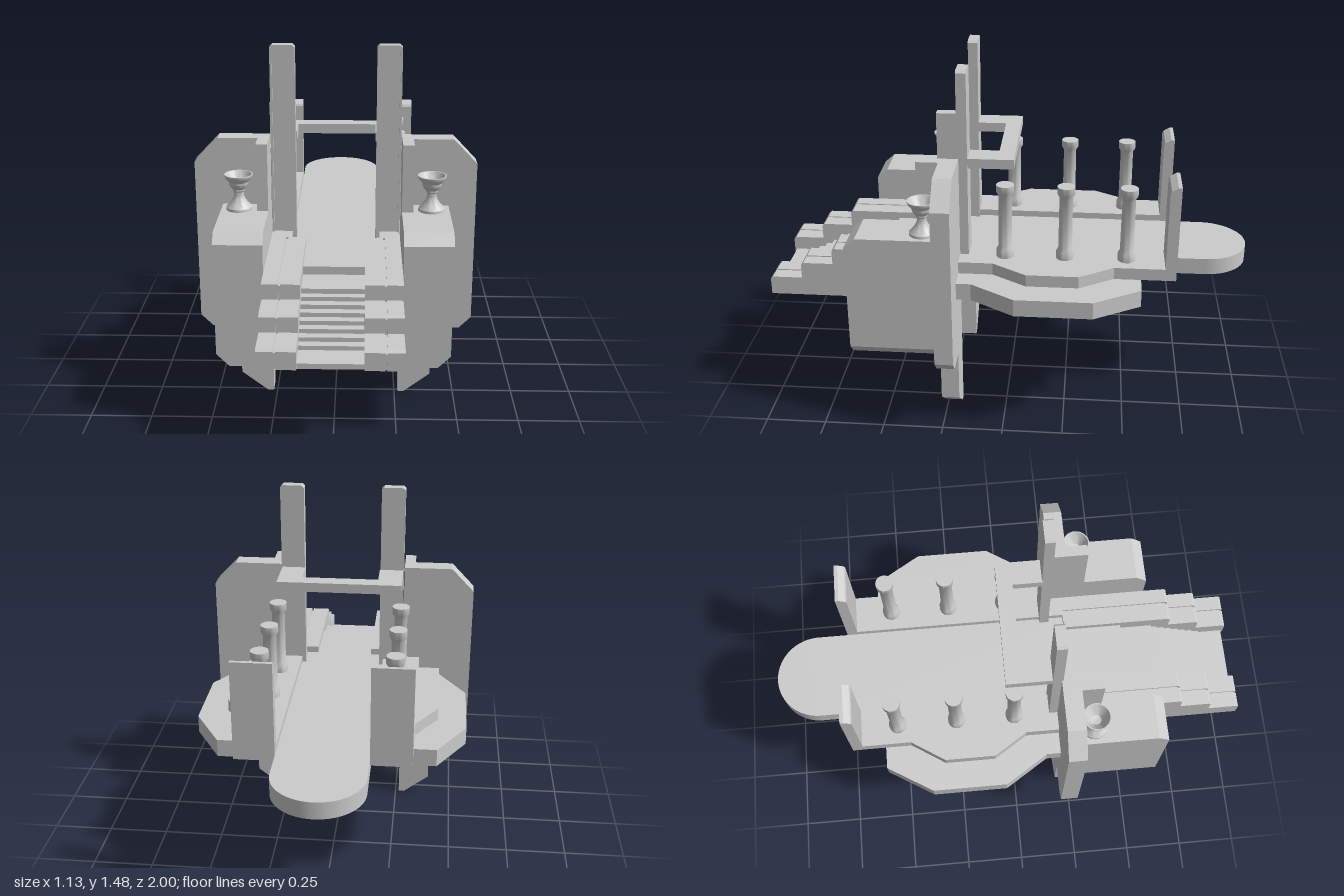
import * as THREE from 'three';
import { toCreasedNormals } from 'three/addons/utils/BufferGeometryUtils.js';

const material = new THREE.MeshStandardMaterial({ color: 0xcccccc, side: THREE.DoubleSide });

export function createModel() {
  const model = new THREE.Group();

  const add = (name, geometry) => {
    const mesh = new THREE.Mesh(geometry, material);
    mesh.name = name;
    model.add(mesh);
    return mesh;
  };
  const shapeOf = (points) => new THREE.Shape(points.map(([a, b]) => new THREE.Vector2(a, b)));
  const extrude = (shape, depth) =>
    new THREE.ExtrudeGeometry(shape, { depth, bevelEnabled: false, curveSegments: 24 });

  // Box given by its limits
  const box = (name, x0, x1, y0, y1, z0, z1) =>
    add(name, new THREE.BoxGeometry(Math.abs(x1 - x0), y1 - y0, z1 - z0)
      .translate((x0 + x1) / 2, (y0 + y1) / 2, (z0 + z1) / 2));
  // Outline in x, y pushed along z
  const upright = (name, shape, z0, z1) => add(name, extrude(shape, z1 - z0).translate(0, 0, z0));
  // Outline in x, z raised along y
  const slab = (name, points, y0, y1) =>
    add(name, extrude(shapeOf(points.map(([x, z]) => [x, -z])), y1 - y0)
      .rotateX(-Math.PI / 2).translate(0, y0, 0));
  // Outline in z, y pushed along x
  const sideways = (name, points, xa, xb) =>
    add(name, extrude(shapeOf(points), Math.abs(xb - xa))
      .rotateY(-Math.PI / 2).translate(Math.max(xa, xb), 0, 0));
  // Turned part with crisp ledges
  const turned = (name, points, x, z) =>
    add(name, toCreasedNormals(
      new THREE.LatheGeometry(points.map(([r, y]) => new THREE.Vector2(r, y)), 24), 0.6))
      .position.set(x, 0, z);

  // Central walkway with a rounded far end
  const walk = new THREE.Shape();
  walk.moveTo(0.18, -0.26);
  walk.lineTo(0.18, 0.82);
  walk.absarc(0, 0.82, 0.18, 0, Math.PI, false);
  walk.lineTo(-0.18, -0.26);
  add('walkway', toCreasedNormals(extrude(walk, 0.07), 0.5)
    .rotateX(-Math.PI / 2).translate(0, 0.603, 0));
  box('landing', -0.12, 0.12, 0.603, 0.673, 0.26, 0.51);

  // Stair treads
  box('topTread', -0.12, 0.12, 0.58, 0.64, 0.48, 0.65);
  for (let i = 0; i < 8; i++) {
    const y = 0.62 - i * 0.017;
    const front = i === 7 ? 0.99 : 0.68 + i * 0.034;
    box('tread' + (i + 1), -0.12, 0.12, Math.max(y - 0.05, 0.48), y, 0.62 + i * 0.034, front);
  }

  // Balcony bridging the pillars
  slab('balcony', [
    [-0.26, 0.16], [-0.26, -0.03], [0.26, -0.03], [0.26, 0.16],
    [0.16, 0.16], [0.16, 0.035], [-0.16, 0.035], [-0.16, 0.16],
  ], 1.08, 1.12);

  const columnProfile = [
    [0, 0.7], [0.036, 0.7], [0.036, 0.73], [0.028, 0.745],
    [0.027, 0.97], [0.036, 0.985], [0.036, 1.015], [0, 1.015],
  ];
  const gobletProfile = [
    [0, 0.845], [0.053, 0.845], [0.052, 0.855], [0.035, 0.873], [0.024, 0.89],
    [0.019, 0.903], [0.019, 0.918], [0.024, 0.923], [0.024, 0.93],
    [0.034, 0.94], [0.039, 0.952], [0.039, 0.96], [0.05, 0.972], [0.057, 0.985],
    [0.057, 0.99], [0.052, 0.99], [0.036, 0.965], [0.02, 0.945], [0, 0.94],
  ];

  // Stepped stair rail with a rising underside
  const railProfile = (d) => [
    [0.19, 0.63], [0.43, 0.63], [0.47, 0.56], [0.6, 0.56], [0.65, 0.48], [1 - d, 0.48],
    [1 - d, 0.55 - d], [0.99 - d, 0.56 - d], [0.865 - d, 0.56 - d],
    [0.865 - d, 0.62 - d], [0.855 - d, 0.63 - d], [0.73 - d, 0.63 - d],
    [0.73 - d, 0.69 - d], [0.72 - d, 0.7 - d], [0.26, 0.7 - d], [0.26, 0.65], [0.19, 0.65],
  ];

  for (const [side, s] of [['left', 1], ['right', -1]]) {
    const mirror = (points) => points.map(([a, b]) => [a * s, b]);

    // Stair rail in two strips with a narrow groove between
    sideways(side + 'RailInner', railProfile(0), s * 0.12, s * 0.193);
    sideways(side + 'RailGroove', railProfile(0.008), s * 0.193, s * 0.201);
    sideways(side + 'RailOuter', railProfile(0), s * 0.201, s * 0.263);

    // Two-tier side deck with a narrow tab below the walkway
    slab(side + 'UpperDeck', mirror([
      [0.18, 0.26], [0.263, 0.26], [0.263, 0.19], [0.34, 0.19], [0.34, 0.05], [0.43, -0.09],
      [0.43, -0.3], [0.34, -0.44], [0.34, -0.69], [0.18, -0.69],
    ]), 0.65, 0.7);
    slab(side + 'LowerDeck', mirror([
      [0.25, 0.19], [0.43, 0.19], [0.43, 0.13], [0.545, -0.05], [0.545, -0.36],
      [0.43, -0.55], [0.12, -0.55], [0.12, -0.52], [0.25, -0.52],
    ]), 0.578, 0.65);

    // Columns along the deck
    for (const z of [0.005, -0.24, -0.49]) turned(side + 'Column', columnProfile, s * 0.26, z);

    // Tall slab at the rear of the deck
    sideways(side + 'RearSlab', [
      [-0.69, 0.7], [-0.645, 0.7], [-0.645, 1.03], [-0.65, 1.04], [-0.675, 1.055], [-0.69, 1.055],
    ], s * 0.18, s * 0.34);

    // Wall wing and its foot
    upright(side + 'Wing', shapeOf(mirror([
      [0.265, 0], [0.29, 0], [0.4, 0.085], [0.4, 0.302], [0.515, 0.302],
      [0.565, 0.352], [0.565, 1.02], [0.47, 1.12], [0.265, 1.12],
    ])), 0.19, 0.265);
    box(side + 'WingButtress', s * 0.265, s * 0.31, 0.8, 1.12, 0.26, 0.355);

    // Pedestal, chamfered at the top front and the lower outer edge
    sideways(side + 'Pedestal', [
      [0.26, 0.352], [0.63, 0.352], [0.63, 0.805], [0.585, 0.845], [0.26, 0.845],
    ], s * 0.265, s * 0.455);
    upright(side + 'PedestalBase', shapeOf(mirror([
      [0.265, 0.302], [0.405, 0.302], [0.455, 0.352], [0.265, 0.352],
    ])), 0.26, 0.63);
    turned(side + 'Goblet', gobletProfile, s * 0.383, 0.325);

    // Tall pillar with a raised rim around its front face
    const pillarOutline = (inset) => mirror([
      [0.163 + inset, 0.65 + inset], [0.263 - inset, 0.65 + inset], [0.263 - inset, 1.47 - inset],
      [0.253 - inset, 1.48 - inset], [0.173 + inset, 1.48 - inset], [0.163 + inset, 1.47 - inset],
    ]);
    upright(side + 'Pillar', shapeOf(pillarOutline(0)), 0.155, 0.185);
    const rim = shapeOf(pillarOutline(0));
    rim.holes.push(shapeOf(pillarOutline(0.009)));
    upright(side + 'PillarRim', rim, 0.185, 0.196);
  }

  return model;
}
